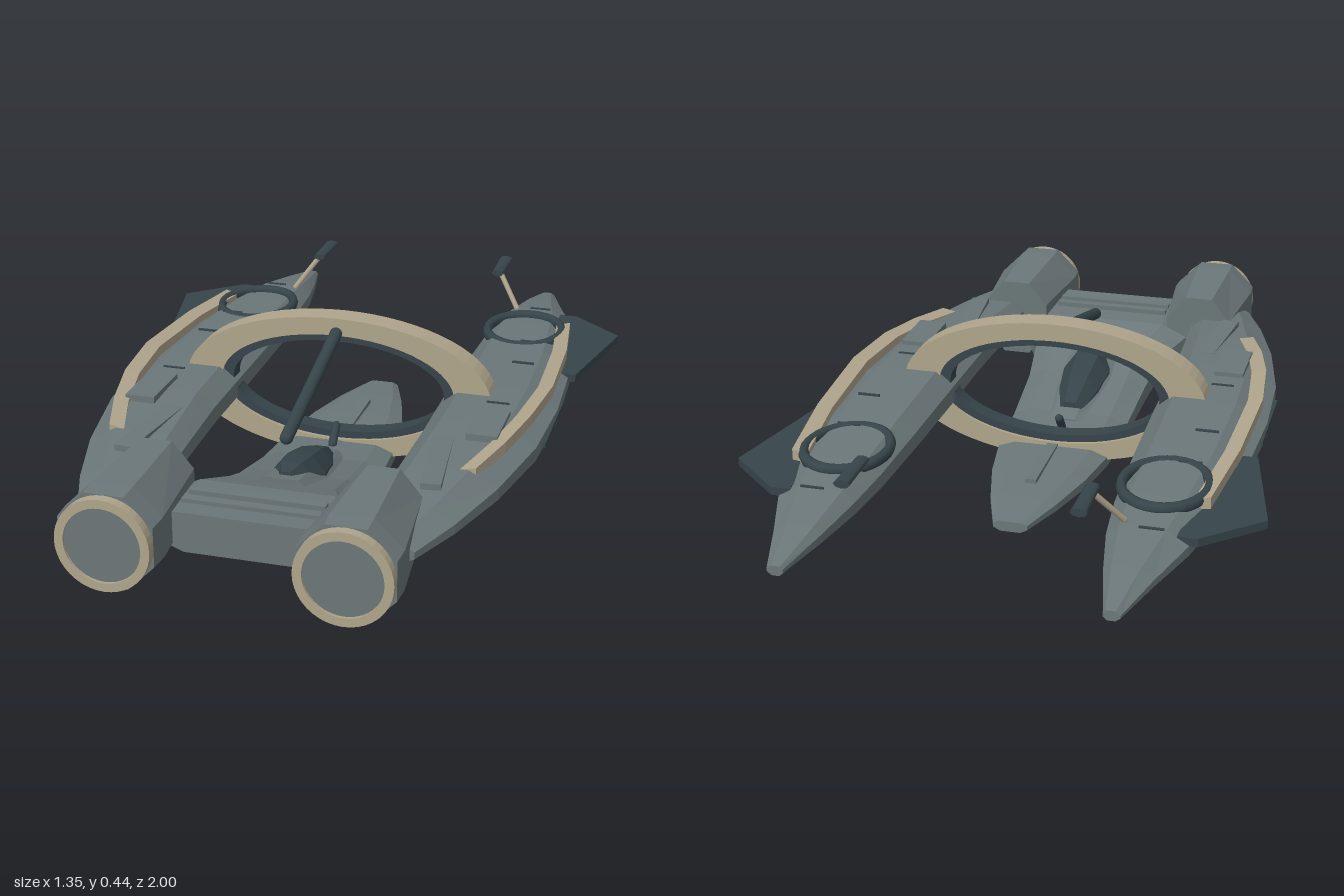
import * as THREE from 'three';

const mat = (name, color, side = THREE.FrontSide) => {
  const m = new THREE.MeshStandardMaterial({ color, side });
  m.name = name;
  return m;
};

// Flat-shaded skin through equal-length closed sections ([x, y] counter-clockwise seen from +z), z rising
function loft(sections) {
  const n = sections[0].pts.length, pos = [], idx = [];
  for (const s of sections) for (const [x, y] of s.pts) pos.push(x, y, s.z);
  for (let i = 0; i < sections.length - 1; i++) {
    for (let j = 0; j < n; j++) {
      const k = (j + 1) % n, a = i * n + j, b = i * n + k;
      idx.push(a, b, b + n, a, b + n, a + n);
    }
  }
  const last = (sections.length - 1) * n;
  for (let j = 1; j < n - 1; j++) {
    idx.push(0, j + 1, j);
    idx.push(last, last + j, last + j + 1);
  }
  const g = new THREE.BufferGeometry();
  g.setAttribute('position', new THREE.Float32BufferAttribute(pos, 3));
  g.setIndex(idx);
  const flat = g.toNonIndexed();
  flat.computeVertexNormals();
  return flat;
}

// Mirror across x = 0, swapping two corners of each face to keep it facing out
function mirrored(geo) {
  const g = geo.index ? geo.toNonIndexed() : geo.clone();
  g.scale(-1, 1, 1);
  for (const a of Object.values(g.attributes)) {
    const s = a.itemSize;
    for (let i = 0; i < a.count; i += 3) {
      for (let c = 0; c < s; c++) {
        const p = (i + 1) * s + c, q = p + s, t = a.array[p];
        a.array[p] = a.array[q];
        a.array[q] = t;
      }
    }
  }
  return g;
}

// Straight rod between two points
function rod(a, b, r, sides = 8) {
  const A = new THREE.Vector3(...a), B = new THREE.Vector3(...b), d = B.clone().sub(A);
  const g = new THREE.CapsuleGeometry(r, d.length() - 2 * r, 3, sides);
  g.applyQuaternion(new THREE.Quaternion().setFromUnitVectors(new THREE.Vector3(0, 1, 0), d.normalize()));
  return g.translate(...A.add(B).multiplyScalar(0.5).toArray());
}

// Elliptical hoop standing in the xy plane
function hoop(rx, ry, ix, iy, depth) {
  const s = new THREE.Shape().absellipse(0, 0, rx, ry, 0, Math.PI * 2);
  s.holes.push(new THREE.Path().absellipse(0, 0, ix, iy, 0, Math.PI * 2, true));
  return new THREE.ExtrudeGeometry(s, { depth, bevelEnabled: false, curveSegments: 32 });
}

const box = (w, h, d, x, y, z) => new THREE.BoxGeometry(w, h, d).translate(x, y, z);

export function createModel() {
  const model = new THREE.Group();
  model.name = 'spacecraft';
  const grey = mat('hull grey', 0x6b7779), dark = mat('dark slate', 0x36454a), tan = mat('tan trim', 0xb0a58c);

  const add = (name, geo, material) => {
    const m = new THREE.Mesh(geo, material);
    m.name = name;
    model.add(m);
  };
  const pair = (name, geo, material) => {
    add(name + 'Left', geo, material);
    add(name + 'Right', mirrored(geo), material);
  };

  // Side pontoons: z, inner x, outer x, bottom, top
  const pontoon = [
    [-1, 0.375, 0.415, 0.16, 0.185], [-0.85, 0.34, 0.46, 0.151, 0.213], [-0.7, 0.312, 0.51, 0.145, 0.236],
    [-0.55, 0.298, 0.542, 0.14, 0.247], [-0.3, 0.29, 0.577, 0.134, 0.258], [0, 0.285, 0.59, 0.13, 0.265],
    [0.25, 0.283, 0.578, 0.132, 0.262], [0.5, 0.272, 0.53, 0.14, 0.25], [0.7, 0.26, 0.47, 0.15, 0.236],
    [0.85, 0.25, 0.41, 0.16, 0.222],
  ].map(([z, a, b, y0, y1]) => {
    const x = (t) => a + (b - a) * t, y = (t) => y0 + (y1 - y0) * t;
    return { z, pts: [[x(0.22), y0], [x(0.7), y0], [x(1), y(0.36)], [x(1), y(0.64)],
      [x(0.72), y1], [x(0.16), y1], [x(0), y(0.7)], [x(0), y(0.36)]] };
  });
  pair('pontoon', loft(pontoon), grey);

  // Central hull: z, half width, bottom, top
  const hull = [
    [-0.43, 0.045, 0.032, 0.06], [-0.3, 0.09, 0.023, 0.07], [-0.15, 0.13, 0.015, 0.076], [0, 0.155, 0.01, 0.079],
    [0.2, 0.166, 0.008, 0.094], [0.4, 0.176, 0.02, 0.135], [0.55, 0.195, 0.045, 0.18],
    [0.65, 0.25, 0.07, 0.212], [0.85, 0.24, 0.12, 0.222],
  ].map(([z, w, y0, y1]) => {
    const h = y1 - y0, b = w * 0.6, t = w * 0.7;
    return { z, pts: [[-b, y0], [b, y0], [w, y0 + h * 0.35], [w, y0 + h * 0.75],
      [t, y1], [-t, y1], [-w, y0 + h * 0.75], [-w, y0 + h * 0.35]] };
  });
  add('centralHull', loft(hull), grey);
  add('bellyPlate', box(0.18, 0.016, 0.34, 0, 0.008, 0.32), dark);
  for (const z of [0.73, 0.78]) add('rearDeckRib', box(0.34, 0.014, 0.025, 0, 0.222, z), grey);
  add('noseSpine', box(0.03, 0.012, 0.32, 0, 0.08, -0.07), grey);

  // Cockpit surround and canopy
  const blister = (rows) => loft(rows.map(([z, w, y0, y1]) => ({ z,
    pts: [[-w, y0], [w, y0], [w * 0.85, (y0 + y1) / 2], [w * 0.4, y1], [-w * 0.4, y1], [-w * 0.85, (y0 + y1) / 2]] })));
  add('cockpitSurround', blister([[0.15, 0.06, 0.07, 0.095], [0.35, 0.1, 0.08, 0.15], [0.56, 0.115, 0.12, 0.195]]), grey);
  add('canopy', blister([[0.2, 0.04, 0.08, 0.125], [0.3, 0.066, 0.09, 0.165], [0.4, 0.08, 0.1, 0.19],
    [0.47, 0.062, 0.12, 0.2], [0.52, 0.03, 0.13, 0.195]]), dark);
  add('canopyStrut', rod([0, 0.08, 0.115], [0, 0.14, 0.065], 0.012), dark);

  // Hoop joining the pontoons, its dark lining and boom
  add('archHoop', hoop(0.424, 0.198, 0.325, 0.15, 0.07).translate(0, 0.24, 0), tan);
  add('hoopLining', hoop(0.326, 0.151, 0.295, 0.13, 0.05).translate(0, 0.24, 0.01), dark);
  add('boom', rod([0, 0.278, 0.525], [0, 0.402, 0.05], 0.017, 10), dark);

  // Engine nacelles: octagons that narrow forwards
  const octagon = (z, w, h) => ({ z, pts: [[-0.42, -1], [0.42, -1], [1, -0.42], [1, 0.42],
    [0.42, 1], [-0.42, 1], [-1, 0.42], [-1, -0.42]].map(([x, y]) => [0.285 + x * w, 0.19 + y * h]) });
  pair('nacelle', loft([octagon(0.65, 0.095, 0.115), octagon(0.92, 0.12, 0.12), octagon(0.975, 0.117, 0.118)]), grey);
  const lip = new THREE.Shape().absarc(0, 0, 0.117, 0, Math.PI * 2);
  lip.holes.push(new THREE.Path().absarc(0, 0, 0.095, 0, Math.PI * 2, true));
  pair('exhaustRing', new THREE.ExtrudeGeometry(lip, { depth: 0.03, bevelEnabled: false, curveSegments: 20 })
    .translate(0.285, 0.19, 0.97), tan);
  pair('exhaustDisc', new THREE.CylinderGeometry(0.096, 0.096, 0.025, 32).rotateX(Math.PI / 2)
    .translate(0.285, 0.19, 0.98), grey);

  // Curved outer rails: z, centre x, top y
  const rail = [[-0.55, 0.513, 0.258], [-0.3, 0.543, 0.272], [0, 0.555, 0.284], [0.2, 0.535, 0.283],
    [0.36, 0.5, 0.272], [0.5, 0.455, 0.258]].map(([z, x, y]) => ({ z,
    pts: [[x - 0.02, y - 0.035], [x + 0.02, y - 0.03], [x + 0.02, y], [x - 0.02, y - 0.008]] }));
  pair('rail', loft(rail), tan);

  // Side fins
  const fin = new THREE.Shape([[0.48, -0.7], [0.53, -0.7], [0.673, -0.57], [0.6, -0.235], [0.5, -0.235]]
    .map(([x, z]) => new THREE.Vector2(x, -z)));
  pair('fin', new THREE.ExtrudeGeometry(fin, { depth: 0.022, bevelEnabled: false })
    .rotateX(-Math.PI / 2).translate(0, 0.203, 0), dark);

  // Deck rings
  pair('deckRing', new THREE.TorusGeometry(0.13, 0.016, 8, 32).rotateX(Math.PI / 2)
    .scale(0.82, 1, 1).translate(0.41, 0.246, -0.485), dark);

  // Sensor pods on stalks
  pair('sensorStalk', rod([0.355, 0.235, -0.675], [0.287, 0.33, -0.735], 0.008, 6), tan);
  pair('sensorPod', new THREE.CylinderGeometry(0.012, 0.014, 0.14, 8, 2).rotateX(Math.PI / 2)
    .scale(1.5, 0.8, 1).translate(0.282, 0.335, -0.78), dark);

  // Raised deck hatches and panel seams
  pair('deckHatch', box(0.08, 0.03, 0.17, 0.455, 0.26, 0.26), grey);
  pair('rearHatch', box(0.05, 0.016, 0.27, 0, 0, 0).rotateY(0.11).translate(0.375, 0.25, 0.48), grey);
  for (const [x, z] of [[0.42, -0.7], [0.45, -0.37], [0.46, -0.19], [0.45, 0.11]]) {
    pair('panelSeam', box(0.06, 0.006, 0.006, x, 0.235 + 0.03 * (1 - z * z * 1.9), z), dark);
  }
  // Dark slots along the outer pontoon walls
  pair('wallSlot', box(0.008, 0.012, 0.28, 0.588, 0.196, 0.05), dark);
  return model;
}
